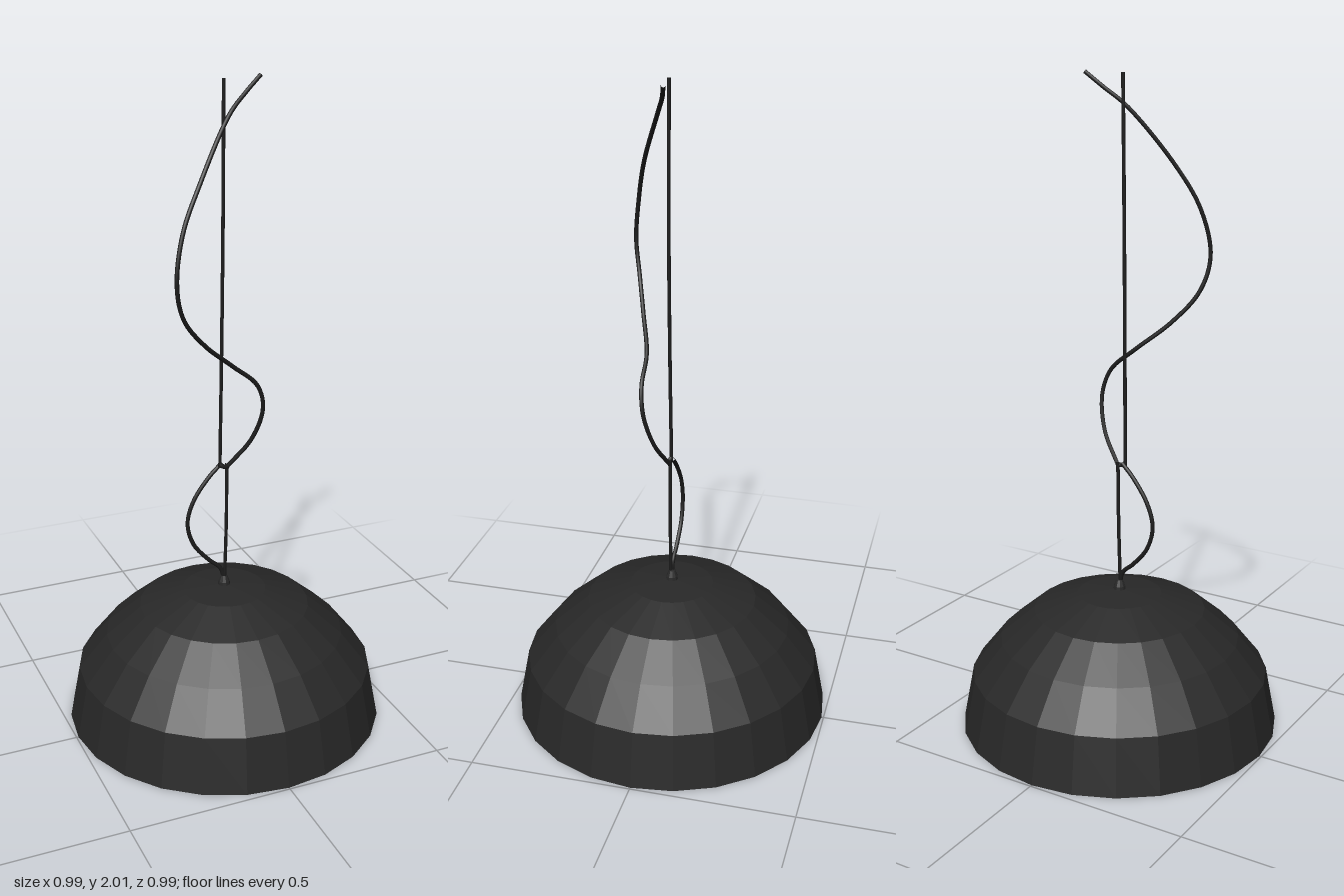
import * as THREE from 'three';

const shadeMat = new THREE.MeshStandardMaterial({ color: 0x282828, flatShading: true });
const cordMat = new THREE.MeshStandardMaterial({ color: 0x1c1c1c });

const v2 = (pts) => pts.map(([x, y]) => new THREE.Vector2(x, y));

export function createModel() {
  const lamp = new THREE.Group();
  lamp.name = 'pendantLamp';

  const add = (name, geometry, material) => {
    const mesh = new THREE.Mesh(geometry, material);
    mesh.name = name;
    lamp.add(mesh);
    return mesh;
  };
  const lathe = (name, pts, sides, material) =>
    add(name, new THREE.LatheGeometry(v2(pts), sides), material);
  const cord = (name, pts, radius, segments) => {
    const curve = new THREE.CatmullRomCurve3(pts.map((p) => new THREE.Vector3(...p)));
    return add(name, new THREE.TubeGeometry(curve, segments, radius, 8), cordMat);
  };

  // Domed shade: inner wall from the crown down, round the rim, outer wall back up
  lathe('shade', [
    [0, 0.428], [0.125, 0.414], [0.258, 0.364], [0.362, 0.276], [0.449, 0.168], [0.482, 0],
    [0.494, 0], [0.461, 0.173], [0.372, 0.285], [0.265, 0.376], [0.13, 0.426], [0, 0.44],
  ], 24, shadeMat);

  // Cord grip on the crown
  lathe('cordGrip', [[0.02, 0.43], [0.018, 0.448], [0.01, 0.468], [0, 0.47]], 10, shadeMat);

  // Lamp holder and shallow bulb inside the shade
  lathe('lampHolder', [[0.02, 0.07], [0.02, 0.43]], 10, cordMat);
  lathe('bulb', [
    [0, 0.005], [0.055, 0.01], [0.095, 0.03], [0.107, 0.055], [0.085, 0.08], [0, 0.09],
  ], 10, shadeMat);

  // Suspension wire, stepping sideways at the knot
  cord('upperWire', [[-0.005, 2, 0.01], [-0.008, 1.6, 0.012], [-0.012, 1.2, 0.01], [-0.016, 0.84, 0.006]], 0.0055, 24);
  cord('lowerWire', [[0.008, 0.85, 0.003], [0.006, 0.65, 0.004], [0, 0.45, 0.004]], 0.0055, 16);

  // Loose power cord, swinging wide above the knot
  cord('upperCord', [
    [0.113, 2, -0.005], [0.06, 1.957, 0.012], [0, 1.905, 0.04], [-0.12, 1.735, 0.115],
    [-0.185, 1.61, 0.15], [-0.21, 1.475, 0.167], [-0.185, 1.37, 0.15], [-0.11, 1.275, 0.118],
    [-0.005, 1.185, 0.079], [0.075, 1.115, 0.073], [0.1, 1.035, 0.062], [0.075, 0.93, 0.036],
    [0.01, 0.84, 0.005],
  ], 0.0065, 90);

  // Smaller loop between the knot and the shade
  cord('lowerCord', [
    [-0.008, 0.85, 0], [-0.05, 0.808, -0.002], [-0.1, 0.735, -0.004], [-0.119, 0.665, -0.004],
    [-0.1, 0.592, -0.004], [-0.05, 0.53, -0.002], [-0.012, 0.495, 0], [0, 0.45, 0],
  ], 0.0065, 48);

  // Knot joining wire and cord
  cord('knot', [[-0.018, 0.852, 0.006], [-0.006, 0.842, 0.01], [0.012, 0.838, 0.004]], 0.007, 10);

  return lamp;
}
